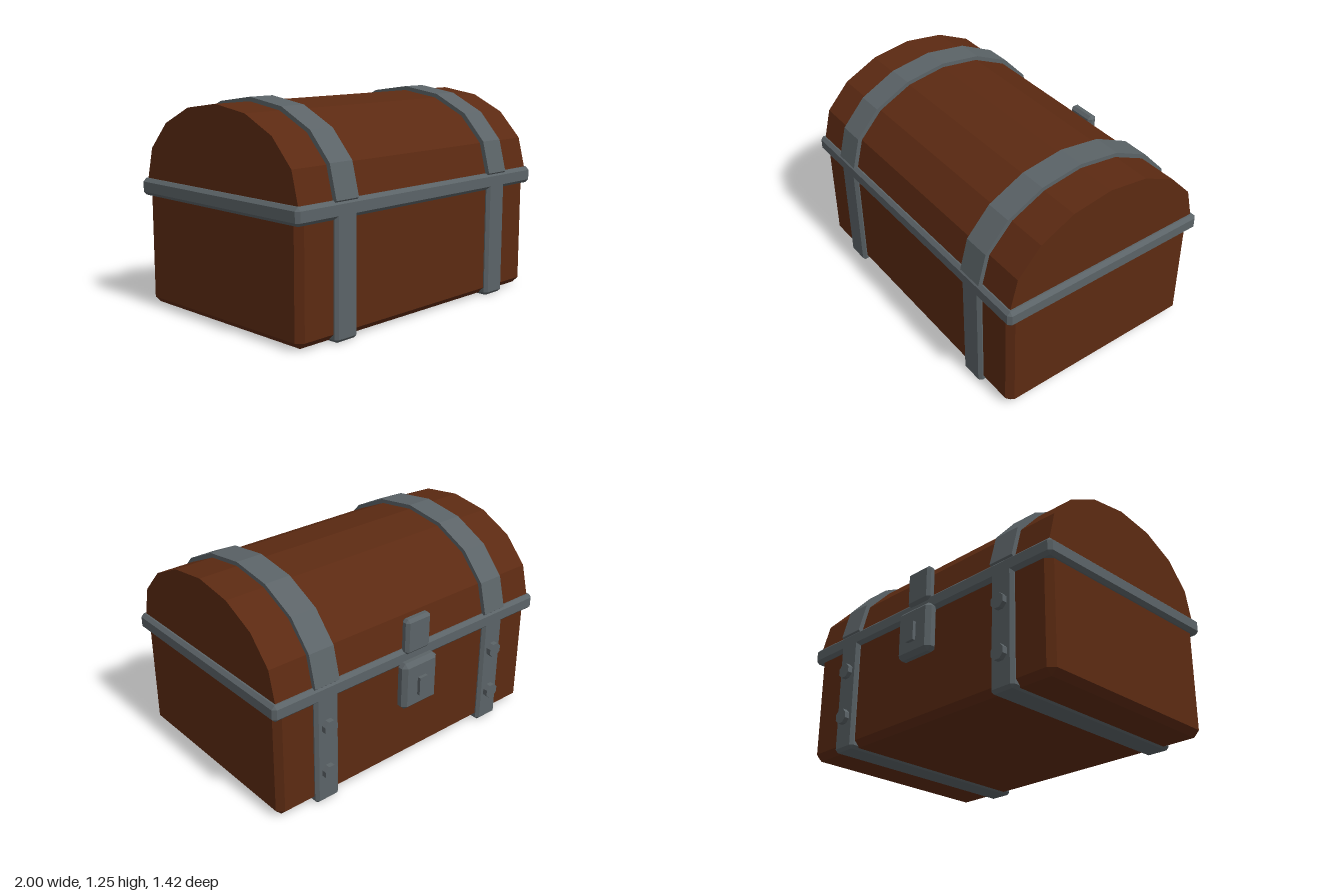
import * as THREE from 'three';
import { ConvexGeometry } from 'three/addons/geometries/ConvexGeometry.js';

const CZ = 0.035; // middle of the chest in z

const wood = new THREE.MeshStandardMaterial({ color: 0x5c2a12, flatShading: true });
wood.name = 'brown wood';
const iron = new THREE.MeshStandardMaterial({ color: 0x5b6367, flatShading: true });
iron.name = 'grey iron';

// Box with chamfered edges, given by its extents
function chamferBox([x0, x1], [y0, y1], [z0, z1], c) {
  const half = [(x1 - x0) / 2, (y1 - y0) / 2, (z1 - z0) / 2];
  const points = [];
  for (const sx of [-1, 1]) for (const sy of [-1, 1]) for (const sz of [-1, 1]) {
    for (let axis = 0; axis < 3; axis++) {
      const [px, py, pz] = half.map((h, i) => (i === axis ? h : h - c));
      points.push(new THREE.Vector3(sx * px, sy * py, sz * pz));
    }
  }
  return new ConvexGeometry(points).translate((x0 + x1) / 2, (y0 + y1) / 2, (z0 + z1) / 2);
}

// Full symmetric arch from half of its (distance, height) points
function arch(half) {
  const right = half.map(([d, y]) => new THREE.Vector2(CZ + d, y));
  const left = half.slice(0, -1).reverse().map(([d, y]) => new THREE.Vector2(CZ - d, y));
  return [...right, ...left];
}

// Extrude a (z, y) outline along x
function alongX(outline, width, x = 0) {
  return new THREE.ExtrudeGeometry(new THREE.Shape(outline), { depth: width, bevelEnabled: false })
    .translate(0, 0, -width / 2).rotateY(-Math.PI / 2).translate(x, 0, 0);
}

export function createModel() {
  const chest = new THREE.Group();
  chest.name = 'chest';
  const add = (name, geometry, material, parent = chest) => {
    const mesh = new THREE.Mesh(geometry, material);
    mesh.name = name;
    parent.add(mesh);
    return mesh;
  };

  // Wooden body and faceted lid
  const lidArch = arch([[0.652, 0.74], [0.6, 0.94], [0.455, 1.095], [0.245, 1.195], [0, 1.23]]);
  const bandArch = arch([[0.675, 0.76], [0.625, 0.95], [0.48, 1.11], [0.258, 1.218], [0, 1.255]]);
  add('body', chamferBox([-0.97, 0.97], [0.01, 0.74], [-0.615, 0.685], 0.037), wood);
  add('lid', alongX(lidArch, 1.94), wood);

  // Iron rim around the seam
  add('rim', chamferBox([-1, 1], [0.66, 0.76], [-0.64, 0.71], 0.02), iron);

  // Bands with rivets on the latch side
  for (const side of [-1, 1]) {
    const x = side * 0.647;
    const band = new THREE.Group();
    band.name = side > 0 ? 'leftBand' : 'rightBand';
    chest.add(band);
    add('lowerBand', chamferBox([x - 0.082, x + 0.082], [0, 0.72], [-0.64, 0.71], 0.018), iron, band);
    add('lidBand', alongX([...bandArch, ...[...lidArch].reverse()], 0.165, x), iron, band);
    for (const y of [0.205, 0.5]) {
      const rivet = new THREE.CylinderGeometry(0.047, 0.047, 0.05, 8, 1, false, Math.PI / 8)
        .rotateX(-Math.PI / 2).translate(x, y, -0.645);
      add('rivet', rivet, iron, band);
    }
  }

  // Latch: hasp on the lid, lock plate on the body, raised keyhole plate
  const latch = new THREE.Group();
  latch.name = 'latch';
  chest.add(latch);
  add('hasp', chamferBox([-0.093, 0.093], [0.73, 0.95], [-0.66, -0.6], 0.018), iron, latch);
  add('lockPlate', chamferBox([-0.132, 0.132], [0.39, 0.69], [-0.69, -0.61], 0.025), iron, latch);
  add('keyholePlate', new THREE.BoxGeometry(0.06, 0.115, 0.04).translate(0, 0.528, -0.69), iron, latch);

  return chest;
}
